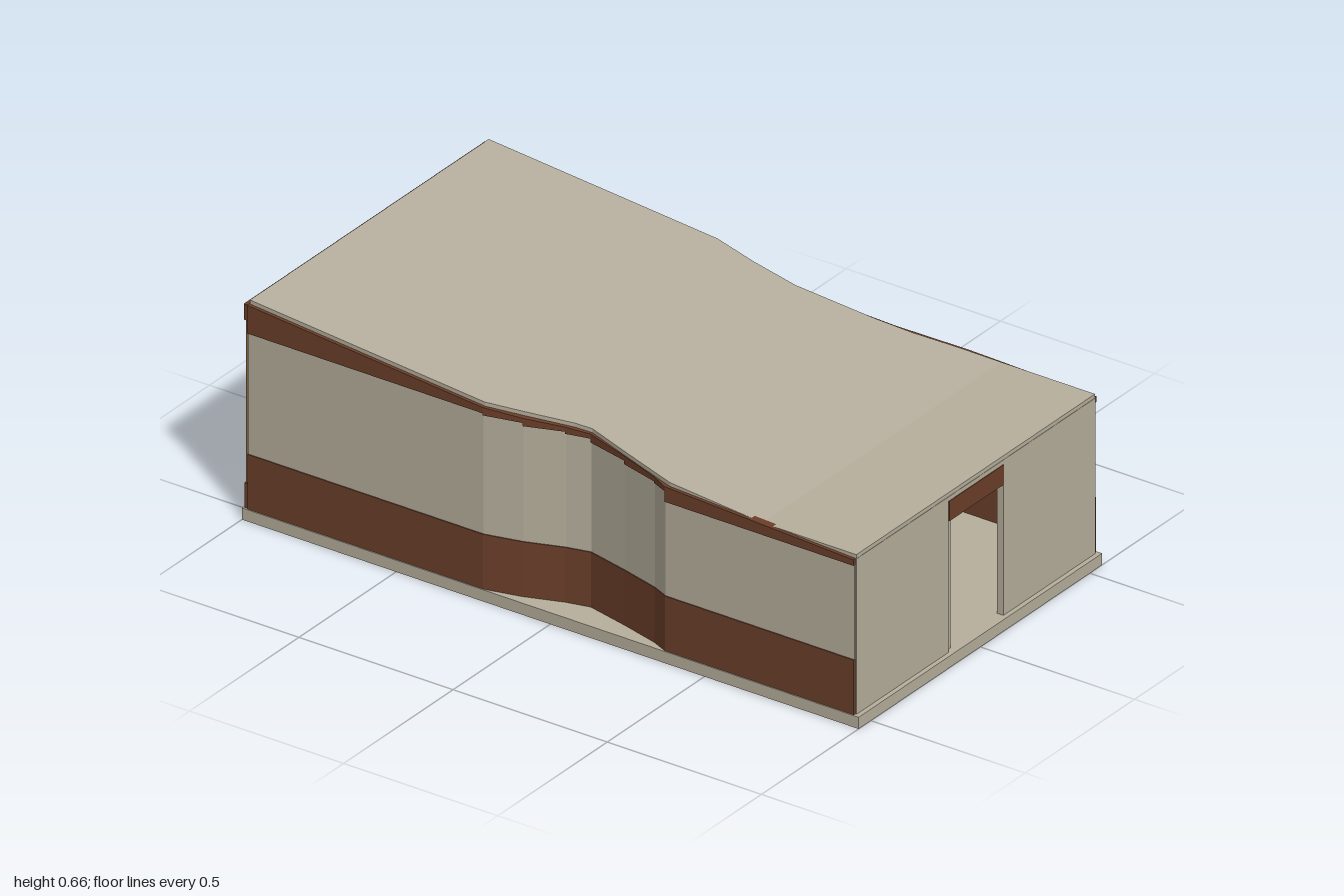
import * as THREE from 'three';
import { mergeGeometries } from 'three/addons/utils/BufferGeometryUtils.js';

const material = (name, color) => {
  const m = new THREE.MeshStandardMaterial({ color });
  m.name = name;
  return m;
};

// piecewise linear value at z; points run from the front (high z) to the back
function along(points, z) {
  if (z >= points[0][0]) return points[0][1];
  for (let i = 1; i < points.length; i++) {
    const [z0, v0] = points[i - 1], [z1, v1] = points[i];
    if (z >= z1) return v0 + (v1 - v0) * (z0 - z) / (z0 - z1);
  }
  return points[points.length - 1][1];
}

// six-sided block whose sides, bottom and top are functions of z
function block(zBack, zFront, xMin, xMax, yMin, yMax) {
  const at = (f, z) => (typeof f === 'function' ? f(z) : f);
  const g = new THREE.BoxGeometry(1, 1, 1);
  const p = g.attributes.position;
  for (let i = 0; i < p.count; i++) {
    const z = p.getZ(i) < 0 ? zBack : zFront;
    p.setXYZ(i, at(p.getX(i) < 0 ? xMin : xMax, z), at(p.getY(i) < 0 ? yMin : yMax, z), z);
  }
  g.computeVertexNormals();
  return g;
}

export function createModel() {
  const group = new THREE.Group();
  const plaster = material('plaster', 0xb8b09e);
  const brown = material('brown cladding', 0x6c3f2a);
  const glass = material('glass', 0x4d7073);
  const wood = material('light wood', 0x8c6c48);
  const add = (name, mat, ...parts) => {
    const m = new THREE.Mesh(mergeGeometries(parts), mat);
    m.name = name;
    group.add(m);
  };

  const F = 0.035; // floor level
  const roofY = z => along([[0.68, 0.515], [-0.98, 0.662]], z);
  const underRoof = z => roofY(z) - 0.012;

  // plan curves: half width at each z
  const wallLeft = [[0.57, 0.55], [0.45, 0.532], [0.35, 0.517], [0.21, 0.506],
    [0.04, 0.505], [-0.12, 0.527], [-0.24, 0.55]];
  const roofLeft = [[0.68, 0.545], [0.55, 0.529], [0.42, 0.508], [0.3, 0.499],
    [0.05, 0.494], [-0.1, 0.516], [-0.24, 0.546]];
  const wallRight = [[0.37, 0.55], [0.32, 0.528], [0.2, 0.496], [0.07, 0.466],
    [0, 0.483], [-0.11, 0.523], [-0.22, 0.55]];
  const roofRight = [[0.38, 0.545], [0.33, 0.532], [0.2, 0.498], [0.07, 0.462],
    [0.02, 0.47], [-0.11, 0.512], [-0.22, 0.545]];

  // floor slab
  add('floorSlab', plaster, block(-1, 1, -0.556, 0.556, 0, F));

  // side walls: base band, plaster with stepped top, sloping fascia
  for (const [side, plan, s] of [['left', wallLeft, 1], ['right', wallRight, -1]]) {
    const zs = [0.982, ...plan.map(q => q[0]), -0.984];
    const base = [], wall = [], fascia = [];
    for (let i = 1; i < zs.length; i++) {
      const zf = zs[i - 1], zb = zs[i];
      const last = i === zs.length - 1;
      const top = i === 1 ? 0.485 : last ? 0.565 : underRoof(zf) - 0.014;
      const piece = (extra, lo, hi) => {
        const outer = z => s * (along(plan, z) + extra);
        const inner = z => s * (along(plan, z) - 0.02);
        return s > 0 ? block(zb, zf, inner, outer, lo, hi) : block(zb, zf, outer, inner, lo, hi);
      };
      base.push(piece(0.003, F, 0.2));
      wall.push(piece(0, 0.2, top));
      fascia.push(piece(0.005, top, underRoof));
    }
    add(side + 'BaseBand', brown, ...base);
    add(side + 'Wall', plaster, ...wall);
    add(side + 'Fascia', brown, ...fascia);
  }

  // roof: thin sheet, level at the front and rising to the back
  const stations = [...new Set([0.985, ...roofLeft.map(q => q[0]), ...roofRight.map(q => q[0]), -0.982])]
    .sort((a, b) => b - a);
  add('roof', plaster, ...stations.slice(1).map((zb, i) => block(zb, stations[i],
    z => -along(roofRight, z), z => along(roofLeft, z), underRoof, roofY)));

  // front wall with doorway
  add('frontWall', plaster,
    block(0.965, 0.986, -0.545, -0.125, F, 0.503),
    block(0.965, 0.986, 0.125, 0.545, F, 0.503),
    block(0.965, 0.986, -0.125, 0.125, 0.49, 0.503));
  add('doorLintel', brown, block(0.965, 0.988, -0.124, 0.124, 0.43, 0.49));
  add('doorJamb', plaster, block(0.95, 0.975, -0.125, -0.1, F, 0.43));

  // interior hall: side partition, inner block and floor inlay
  add('hallPartition', plaster, block(0.35, 0.95, -0.105, -0.09, F, 0.395));
  add('innerBlock', plaster, block(0.05, 0.35, -0.105, 0.055, F, 0.395));
  add('innerBlockTop', brown, block(0.05, 0.355, -0.105, 0.055, 0.395, 0.41));
  add('floorInlay', glass, block(0.4, 0.77, -0.085, 0.12, F, F + 0.004));

  // back: window wall between base and fascia
  add('backBase', brown, block(-0.996, -0.975, -0.55, 0.55, F, 0.11));
  add('backFascia', brown, block(-0.998, -0.978, -0.55, 0.55, 0.6, 0.648));
  add('backGlass', glass, block(-0.985, -0.979, -0.545, 0.545, 0.11, 0.605));
  add('windowPosts', wood, ...[-0.535, 0, 0.535].map(x =>
    block(-0.994, -0.97, x - 0.01, x + 0.01, 0.11, 0.6)));

  return group;
}
